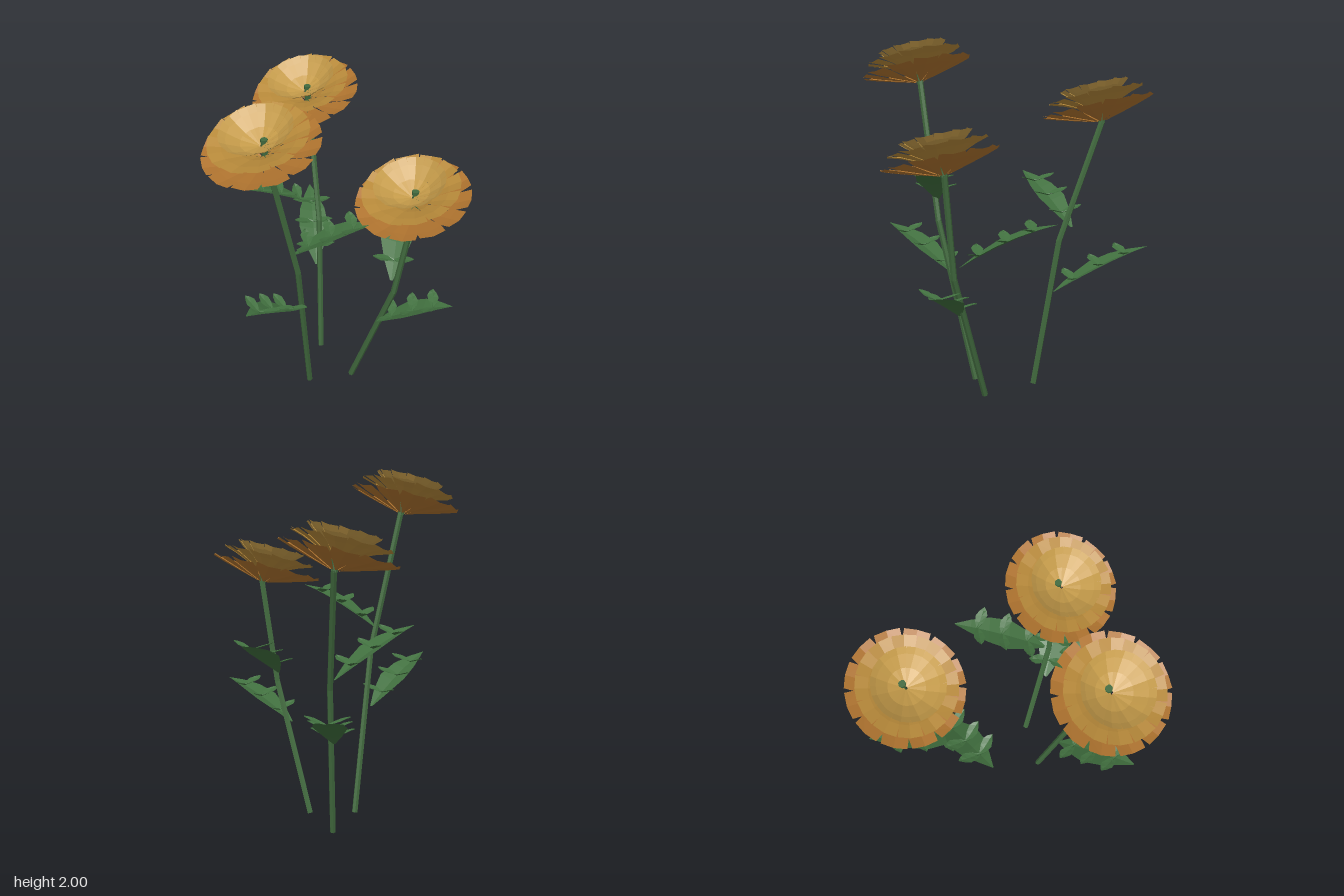
import * as THREE from 'three';

const V = (x, y, z) => new THREE.Vector3(x, y, z);
const paint = (color) => new THREE.MeshStandardMaterial({ color, flatShading: true, side: THREE.DoubleSide });
const stemMat = paint(0x416a3e);
const leafMat = paint(0x41703f);

// Petal layers: profile points are [radius, height, half-angle share]
const LAYERS = [
  { name: 'outerPetals', mat: paint(0xb0742f), turn: 0,
    profile: [[0.03, 0, 0.5], [0.14, 0.032, 0.95], [0.25, 0.066, 1.06], [0.318, 0.09, 0.85]] },
  { name: 'middlePetals', mat: paint(0xb88a3a), turn: 0.5,
    profile: [[0.025, 0.04, 0.6], [0.11, 0.092, 1], [0.2, 0.132, 1.04], [0.27, 0.155, 0.95]] },
  { name: 'innerPetals', mat: paint(0xc69c4a), turn: 0,
    profile: [[0.008, 0.09, 1], [0.1, 0.13, 1.02], [0.165, 0.178, 1.03], [0.197, 0.207, 0.97]] },
];
const PETALS = 12;

// Surface strip through rows of three points: left, middle, right
function strip(rows, out) {
  const quad = (a, b, c, d) => [a, b, c, a, c, d].forEach((p) => out.push(p.x, p.y, p.z));
  for (let i = 0; i + 1 < rows.length; i++) {
    for (let k = 0; k < 2; k++) quad(rows[i][k], rows[i][k + 1], rows[i + 1][k + 1], rows[i + 1][k]);
  }
}

function stripMesh(name, positions, mat) {
  const g = new THREE.BufferGeometry();
  g.setAttribute('position', new THREE.Float32BufferAttribute(positions, 3));
  g.computeVertexNormals();
  const m = new THREE.Mesh(g, mat);
  m.name = name;
  return m;
}

// One ring of creased petals, each lapping over the next
function petalRing({ name, mat, turn, profile }) {
  const out = [];
  for (let i = 0; i < PETALS; i++) {
    const a0 = ((i + turn) / PETALS) * Math.PI * 2;
    strip(profile.map(([r, h, w]) => {
      const half = (Math.PI / PETALS) * w;
      const at = (a, y) => V(Math.sin(a) * r, y, Math.cos(a) * r);
      return [at(a0 - half, h + 0.015 * r), at(a0, h - 0.025 * r), at(a0 + half, h - 0.012 * r)];
    }), out);
  }
  return stripMesh(name, out, mat);
}

function flower(pos) {
  const g = new THREE.Group();
  g.name = 'flowerHead';
  LAYERS.forEach((layer) => g.add(petalRing(layer)));
  const heart = new THREE.Mesh(new THREE.CylinderGeometry(0.021, 0.018, 0.125, 7), stemMat);
  heart.name = 'flowerCentre';
  heart.position.set(0, 0.05, -0.015);
  heart.rotation.x = -0.25;
  g.add(heart);
  g.position.copy(pos).add(V(0, 0, 0.006));
  g.rotation.x = 0.3;
  return g;
}

// Straight six-sided stem piece between two points
function stemPiece(a, b) {
  const d = b.clone().sub(a);
  const m = new THREE.Mesh(new THREE.CylinderGeometry(0.0175, 0.0175, d.length() + 0.006, 6), stemMat);
  m.name = 'stem';
  m.position.copy(a).add(b).multiplyScalar(0.5);
  m.quaternion.setFromUnitVectors(V(0, 1, 0), d.normalize());
  return m;
}

// Pointed blade with pairs of small, nearly level leaflets along its midrib
function leaf(base, tip) {
  const g = new THREE.Group();
  g.name = 'leaf';
  const ahead = V(tip.x - base.x, 0, tip.z - base.z).normalize();
  const side = V(0, 1, 0).cross(ahead);
  const rib = (t) => base.clone().lerp(tip, t).add(V(0, 0.1 * t * (1 - t), 0));

  const blade = [];
  const rows = [[0, 0.008], [0.18, 0.055], [0.4, 0.092], [0.62, 0.078], [0.82, 0.042], [1, 0.002]];
  strip(rows.map(([t, w]) => [1, 0, -1].map((k) =>
    rib(t).addScaledVector(side, k * w).add(V(0, Math.abs(k) * w * 0.25, 0)))), blade);
  g.add(stripMesh('blade', blade, leafMat));

  const leaflets = [];
  const shape = [[0, 0.006], [0.04, 0.026], [0.08, 0.034], [0.112, 0.02], [0.135, 0.001]];
  for (const t of [0.2, 0.48, 0.75]) {
    for (const s of [1, -1]) {
      const out = side.clone().multiplyScalar(s * 0.88).add(V(0, 0.28, 0)).addScaledVector(ahead, -0.25);
      strip(shape.map(([l, w]) => [-s, 0, s].map((k) =>
        rib(t).addScaledVector(out, l).addScaledVector(ahead, k * w).add(V(0, k ? 0.006 : 0, 0)))), leaflets);
    }
  }
  g.add(stripMesh('leaflets', leaflets, leafMat));
  return g;
}

// Each plant: stem points from the ground up, and leaves as [base, tip]
const PLANTS = [
  { name: 'rightFlower',
    stem: [V(-0.2, 0.005, -0.26), V(-0.307, 0.86, -0.35), V(-0.522, 1.54, -0.472)],
    leaves: [[V(-0.385, 0.93, -0.375), V(-0.475, 1.19, 0.09)], [V(-0.3, 0.55, -0.32), V(-0.715, 0.81, -0.67)]] },
  { name: 'middleFlower',
    stem: [V(-0.01, 0.005, 0.03), V(0.097, 0.95, 0.225), V(0.06, 1.74, 0.41)],
    leaves: [[V(0.08, 1.07, 0.25), V(0.43, 1.31, -0.02)], [V(0.02, 0.62, 0.17), V(0.115, 0.875, 0.635)]] },
  { name: 'leftFlower',
    stem: [V(0.135, 0.005, -0.19), V(0.415, 0.75, -0.23), V(0.515, 1.34, -0.265)],
    leaves: [[V(0.385, 0.81, -0.24), V(0.08, 1.07, -0.67)], [V(0.33, 0.515, -0.185), V(0.73, 0.735, -0.375)]] },
];

export function createModel() {
  const model = new THREE.Group();
  model.name = 'flowers';
  for (const { name, stem, leaves } of PLANTS) {
    const plant = new THREE.Group();
    plant.name = name;
    for (let i = 0; i + 1 < stem.length; i++) plant.add(stemPiece(stem[i], stem[i + 1]));
    leaves.forEach(([base, tip]) => plant.add(leaf(base, tip)));
    plant.add(flower(stem[stem.length - 1]));
    model.add(plant);
  }
  return model;
}
